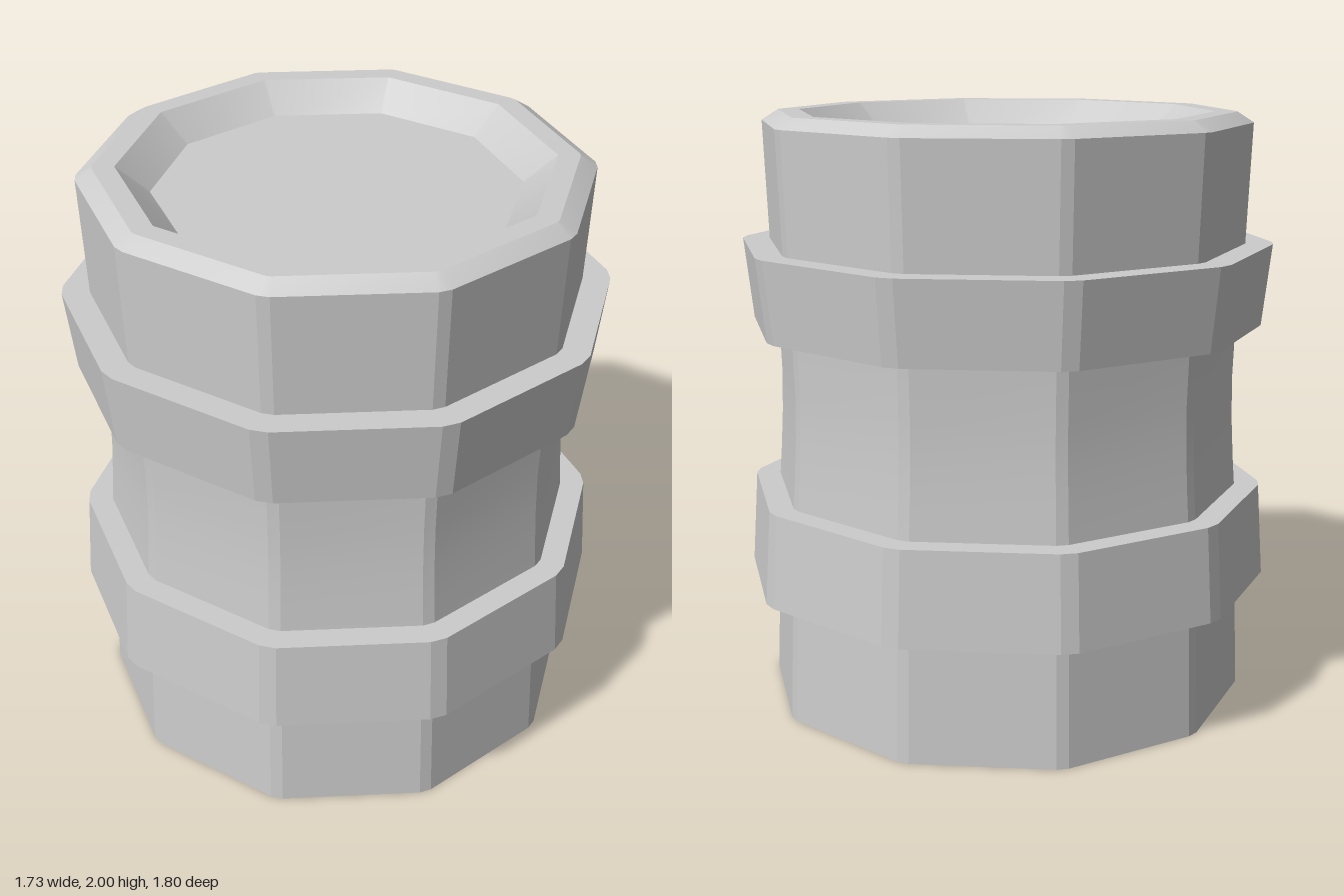
import * as THREE from 'three';
import { toCreasedNormals } from 'three/addons/utils/BufferGeometryUtils.js';

const SIDES = 10;
const STEP = (Math.PI * 2) / SIDES;

// Ten-sided ring with narrow bevelled corners; corners point along z.
function ring(apothem, y, bevel) {
  const points = [];
  for (let i = 0; i < SIDES; i++) {
    for (const side of [-1, 1]) {
      const angle = i * STEP + side * bevel;
      const r = apothem / Math.cos(STEP / 2 - bevel);
      points.push([Math.sin(angle) * r, y, Math.cos(angle) * r]);
    }
  }
  return points;
}

// Joins rings given as [half width across flats, height, corner bevel angle].
function loft(profile) {
  const n = SIDES * 2;
  const positions = [];
  const rings = profile.map(([w, y, bevel = 0.025]) => ring(w, y, bevel));
  for (let j = 0; j < rings.length - 1; j++) {
    const low = rings[j], high = rings[j + 1];
    for (let i = 0; i < n; i++) {
      const k = (i + 1) % n;
      if (profile[j][0] > 0) positions.push(...low[i], ...low[k], ...high[k]);
      if (profile[j + 1][0] > 0) positions.push(...low[i], ...high[k], ...high[i]);
      else if (profile[j][0] > 0) continue;
    }
  }
  const geometry = new THREE.BufferGeometry();
  geometry.setAttribute('position', new THREE.Float32BufferAttribute(positions, 3));
  return toCreasedNormals(geometry, 0.25);
}

export function createModel() {
  const group = new THREE.Group();
  const grey = new THREE.MeshStandardMaterial({ color: 0xcccccc });
  grey.name = 'plain grey';

  const parts = {
    // Lower barrel with a recessed underside
    lowerBody: [
      [0, 0.1, 0.004], [0.54, 0.1, 0.004], [0.67, 0, 0.004],
      [0.79, 0], [0.775, 0.43],
    ],
    // Raised band, wider at its lower edge
    lowerBand: [
      [0.74, 0.415, 0.032], [0.865, 0.415, 0.032],
      [0.845, 0.73, 0.032], [0.73, 0.73, 0.032],
    ],
    // Gently pinched middle
    waist: [
      [0.765, 0.72], [0.757, 0.83], [0.75, 0.96], [0.747, 1.1], [0.753, 1.3],
    ],
    // Raised band, wider at its upper edge
    upperBand: [
      [0.73, 1.29, 0.032], [0.835, 1.29, 0.032],
      [0.865, 1.565, 0.032], [0.74, 1.565, 0.032],
    ],
    // Upper barrel with chamfered rim and recessed lid
    upperBody: [
      [0.775, 1.55], [0.79, 1.965], [0.735, 2, 0.012],
      [0.665, 2, 0.004], [0.565, 1.91, 0.004], [0, 1.91, 0.004],
    ],
  };

  for (const [name, profile] of Object.entries(parts)) {
    const mesh = new THREE.Mesh(loft(profile), grey);
    mesh.name = name;
    group.add(mesh);
  }
  return group;
}
